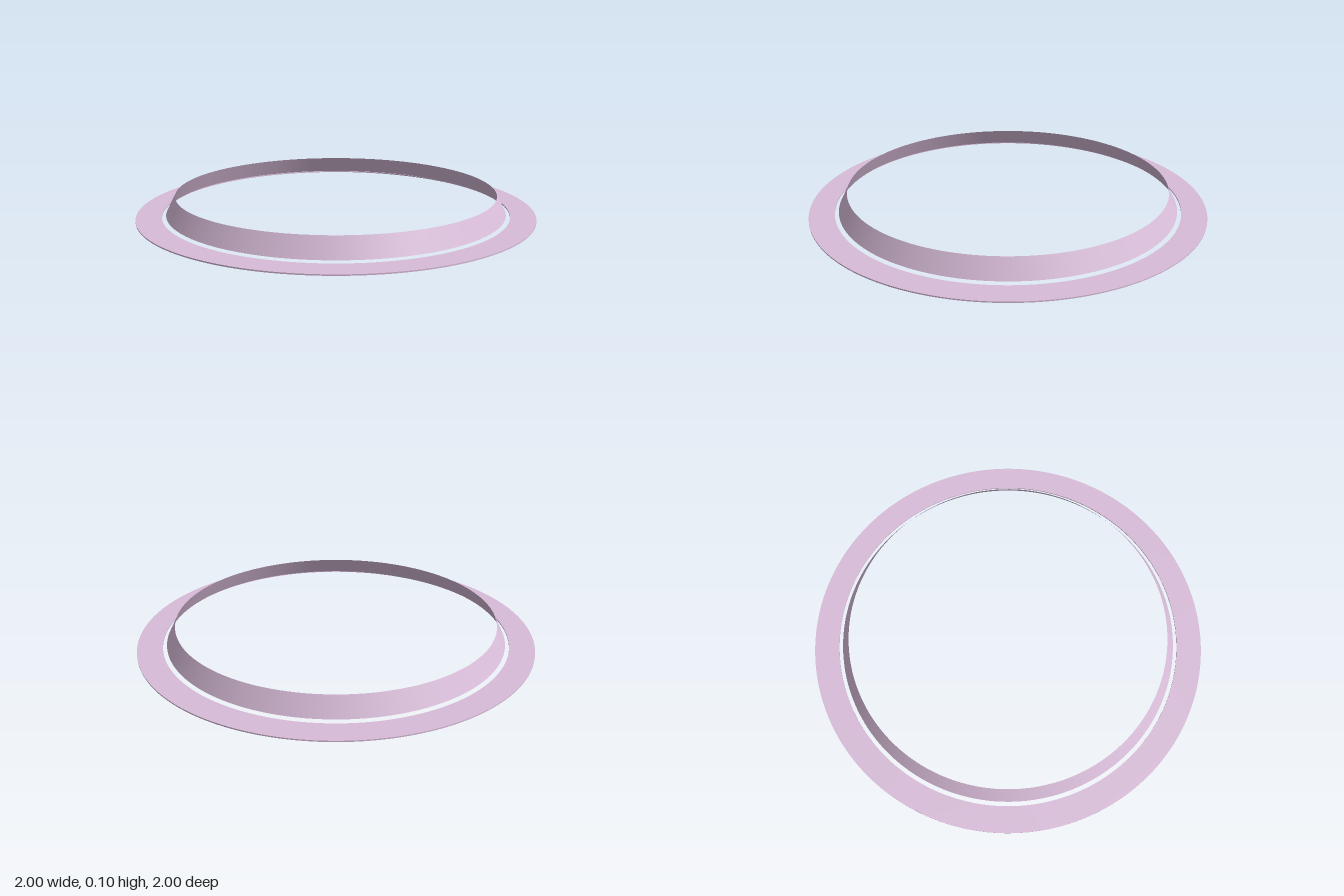
import * as THREE from 'three';

const RIM_INNER = 0.875, RIM_OUTER = 1, RIM_THICKNESS = 0.006;

// Flat annular sector lying on the ground, centred on the given angle
function rimPanel(centre, width) {
  const a = centre - width / 2, b = centre + width / 2;
  const shape = new THREE.Shape();
  shape.absarc(0, 0, RIM_OUTER, a, b, false);
  shape.absarc(0, 0, RIM_INNER, b, a, true);
  const geometry = new THREE.ExtrudeGeometry(shape, {
    depth: RIM_THICKNESS, bevelEnabled: false, curveSegments: 24,
  });
  return geometry.rotateX(-Math.PI / 2);
}

export function createModel() {
  const model = new THREE.Group();
  model.name = 'ringTrim';
  const material = new THREE.MeshStandardMaterial({ color: 0xd8bcd8, side: THREE.DoubleSide });

  // Flat outer rim: four straight-on panels alternating with four wider corner panels
  const rim = new THREE.Group();
  rim.name = 'flatRim';
  const sideWidth = THREE.MathUtils.degToRad(41.5);
  const cornerWidth = Math.PI / 2 - sideWidth;
  for (let i = 0; i < 8; i++) {
    const corner = i % 2 === 1;
    const panel = new THREE.Mesh(rimPanel(i * Math.PI / 4, corner ? cornerWidth : sideWidth), material);
    panel.name = corner ? 'cornerRimPanel' : 'sideRimPanel';
    rim.add(panel);
  }
  model.add(rim);

  // Thin sloping band inside the rim, separated from it by a narrow gap
  const bandProfile = [new THREE.Vector2(0.855, 0.012), new THREE.Vector2(0.808, 0.103)];
  const band = new THREE.Mesh(new THREE.LatheGeometry(bandProfile, 192), material);
  band.name = 'slopedBand';
  model.add(band);

  return model;
}
